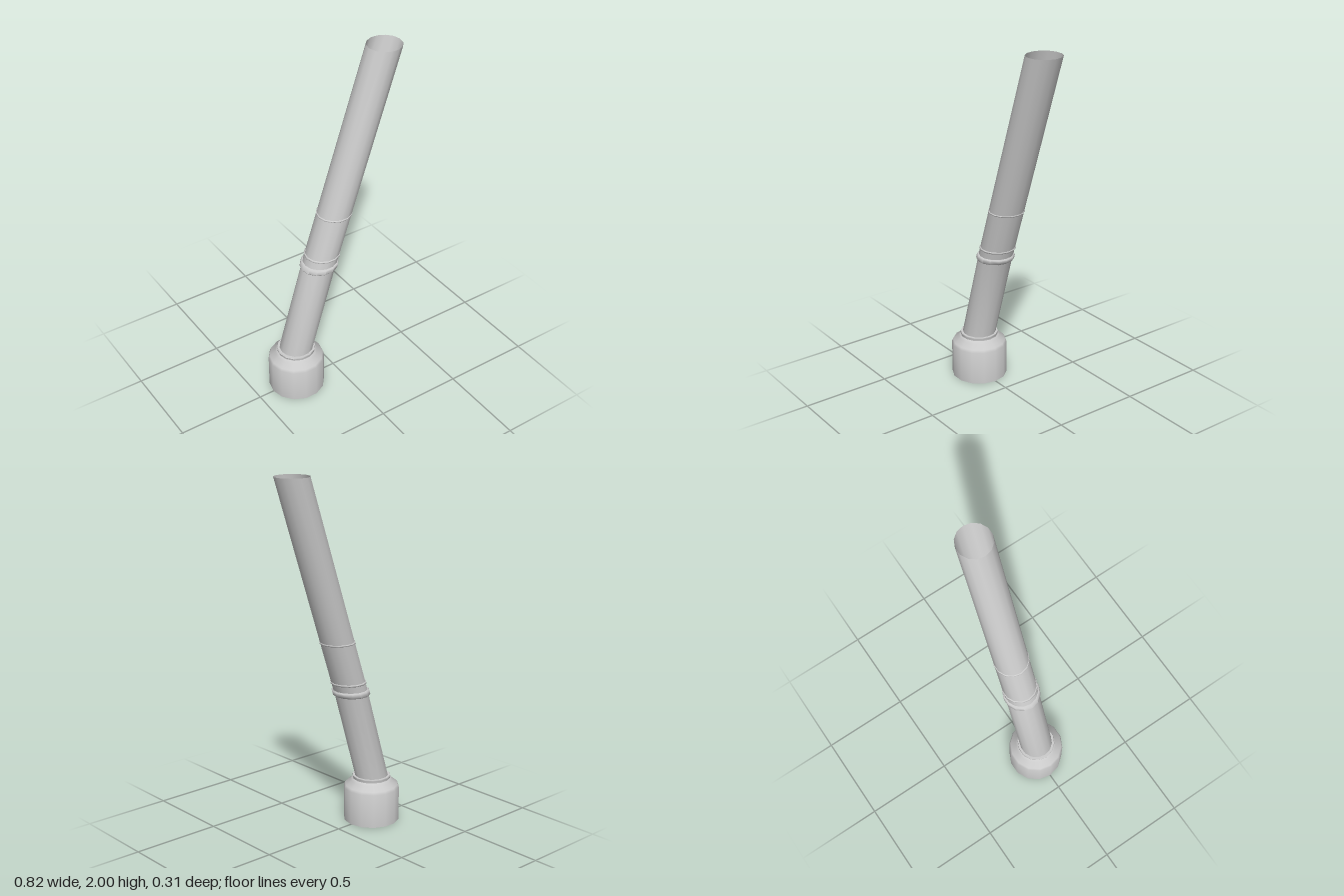
import * as THREE from 'three';
import { toCreasedNormals } from 'three/addons/utils/BufferGeometryUtils.js';

const SIDES = 14;
const material = new THREE.MeshStandardMaterial({ color: 0xcccccc, side: THREE.DoubleSide });

// The pipe's centre line: upright in the base, then leaning towards +x
function centreX(y) {
  if (y < 0.26) return -0.2525;
  if (y < 0.78) return -0.2525 + (y - 0.26) * 0.303;
  return -0.095 + (y - 0.78) * 0.3355;
}

// Turned profile of [radius, height] pairs, sheared along the centre line
function pipePart(name, profile) {
  const points = profile.map(([r, y]) => new THREE.Vector2(r, y));
  const geometry = new THREE.LatheGeometry(points, SIDES, Math.PI / 2);
  const pos = geometry.attributes.position;
  for (let i = 0; i < pos.count; i++) {
    pos.setX(i, pos.getX(i) + centreX(pos.getY(i)));
  }
  const mesh = new THREE.Mesh(toCreasedNormals(geometry, 0.9), material);
  mesh.name = name;
  return mesh;
}

// Narrow raised band around the pipe
function band(name, y0, y1, radius, bevel) {
  return pipePart(name, [
    [0.092, y0], [radius - bevel, y0], [radius, y0 + bevel],
    [radius, y1 - bevel], [radius - bevel, y1], [0.092, y1],
  ]);
}

export function createModel() {
  const group = new THREE.Group();
  group.name = 'leaningPipe';

  group.add(
    // Wide socket, open below, with a rounded shoulder
    pipePart('baseSocket', [
      [0.158, 0], [0.158, 0.195], [0.151, 0.21], [0.118, 0.235],
      [0.115, 0.242], [0.107, 0.247],
    ]),
    pipePart('baseCollar', [
      [0.107, 0.247], [0.107, 0.255], [0.109, 0.259], [0.107, 0.265], [0.094, 0.265],
    ]),
    // Lower and upper lengths of pipe
    pipePart('lowerPipe', [[0.0945, 0.245], [0.0945, 0.26], [0.0945, 0.78]]),
    pipePart('upperPipe', [[0.0955, 0.78], [0.0955, 2]]),
    // Joint between the two lengths
    band('jointRing', 0.774, 0.807, 0.105, 0.006),
    band('jointRim', 0.845, 0.856, 0.1, 0.002),
    band('seamRing', 1.084, 1.093, 0.099, 0.002),
  );
  return group;
}
